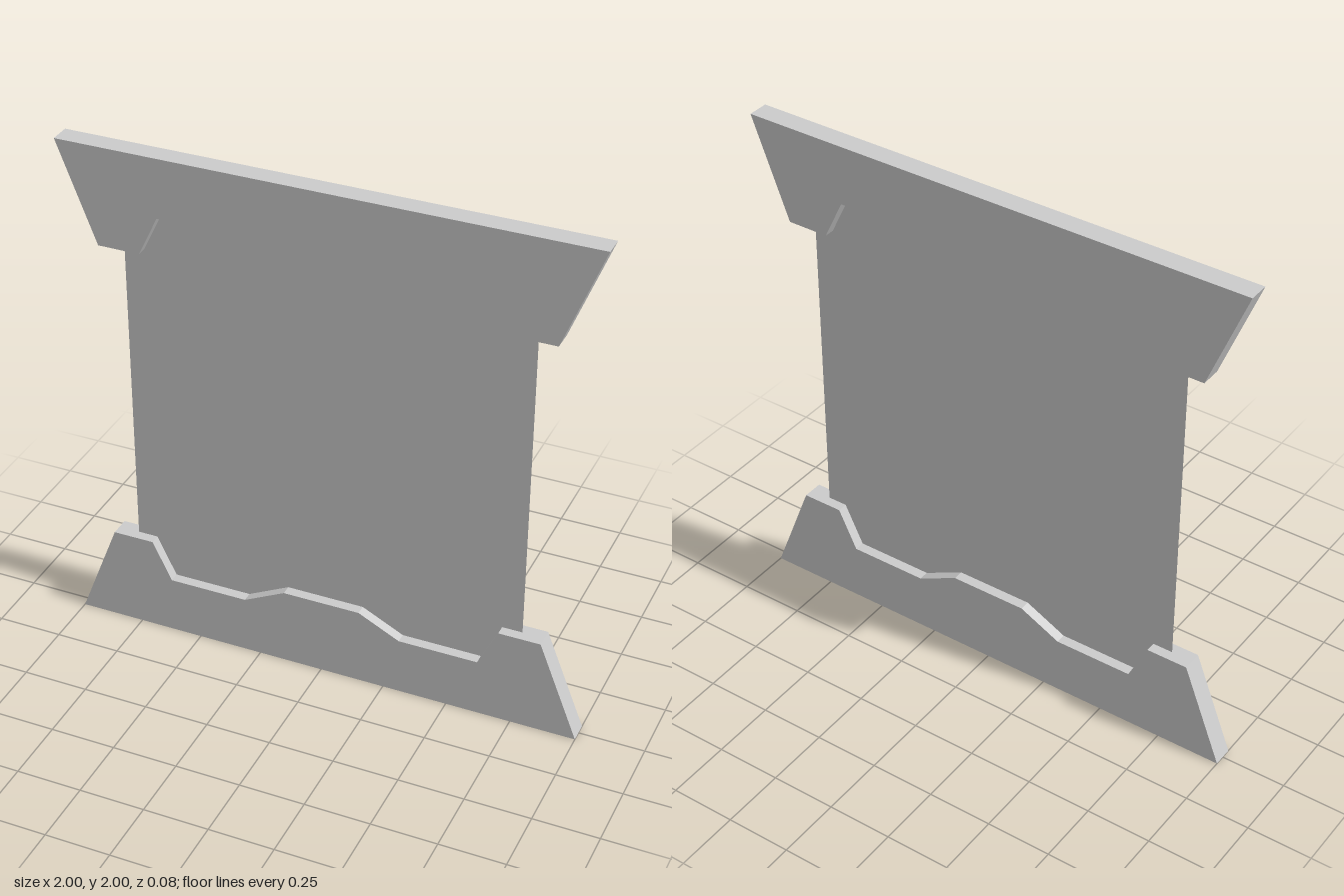
import * as THREE from 'three';

const DEPTH = 0.08;

// Right half of the roller-end outline, from the outer foot to the middle
const HALF_OUTLINE = [
  [1, 0], [0.85, 0.385], [0.69, 0.385], [0.615, 0.23], [0.31, 0.23], [0.15, 0.31],
];

// Notched end bar; flip turns it upside down for the top
function endBar(name, material, flip) {
  const half = HALF_OUTLINE.map(([x, y]) => new THREE.Vector2(x, flip ? 2 - y : y));
  const mirrored = half.map((p) => new THREE.Vector2(-p.x, p.y)).reverse();
  const geometry = new THREE.ExtrudeGeometry(new THREE.Shape([...half, ...mirrored]), {
    depth: DEPTH,
    bevelEnabled: false,
  });
  geometry.translate(0, 0, -DEPTH / 2);
  const mesh = new THREE.Mesh(geometry, material);
  mesh.name = name;
  return mesh;
}

export function createModel() {
  const group = new THREE.Group();
  group.name = 'scrollPanel';
  const material = new THREE.MeshStandardMaterial({ color: 0xcccccc, flatShading: true });

  group.add(endBar('bottomBar', material, false), endBar('topBar', material, true));

  // Thin sheet held between the bars
  const sheetMaterial = material.clone();
  sheetMaterial.side = THREE.DoubleSide;
  const sheet = new THREE.Mesh(new THREE.PlaneGeometry(1.535, 1.6), sheetMaterial);
  sheet.name = 'sheet';
  sheet.position.y = 1;
  group.add(sheet);

  return group;
}
